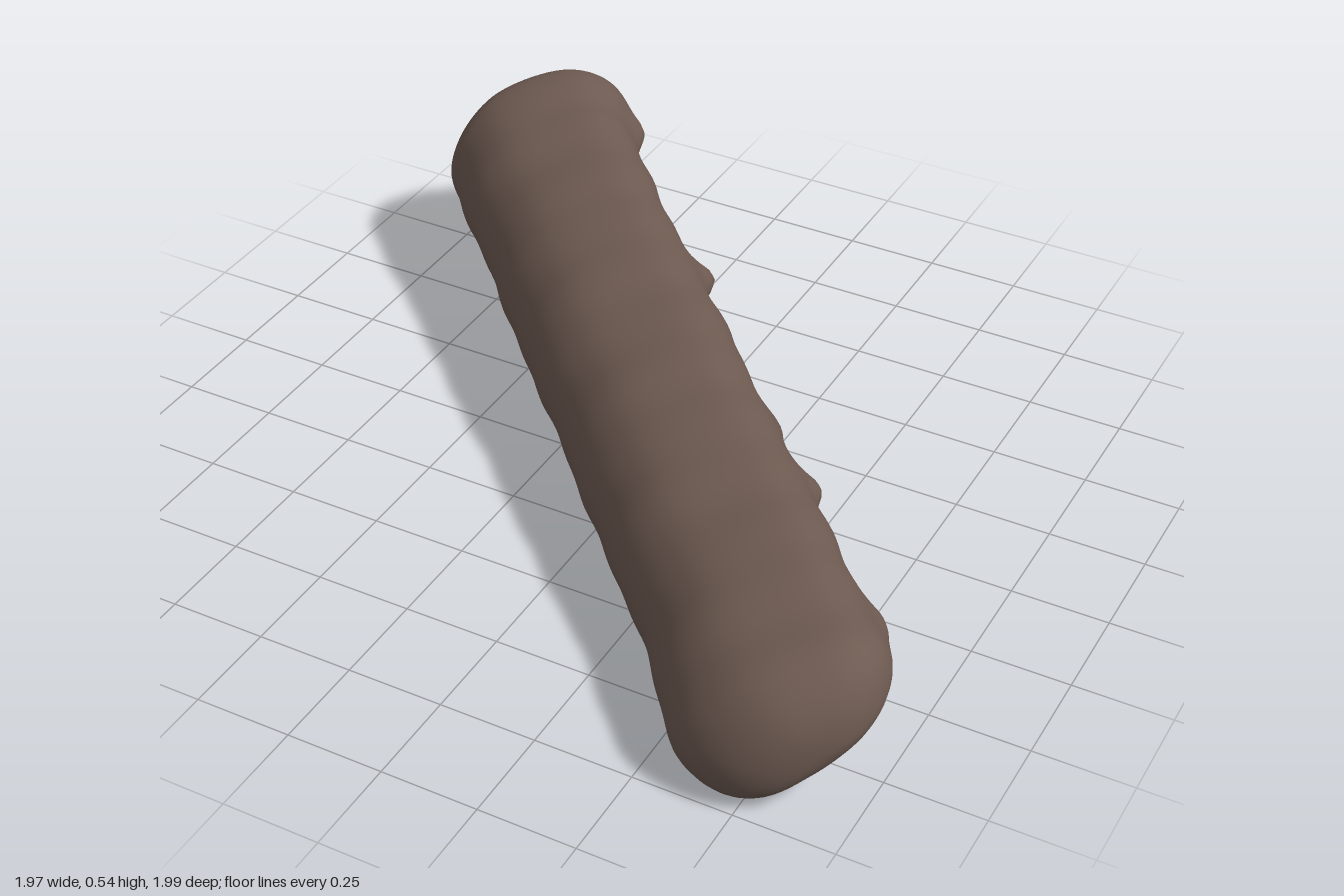
import * as THREE from 'three';

const gauss = (x, w) => Math.exp(-(x * x) / (w * w));

// Domed cross-section with a slanted, slightly bulging underside: [across, height]
const SECTION = [
  [-0.155, 0.095], [-0.01, 0.147], [0.11, 0.21], [0.195, 0.275], [0.228, 0.335], [0.2, 0.41],
  [0.12, 0.456], [0.0, 0.448], [-0.125, 0.4], [-0.21, 0.305], [-0.241, 0.2], [-0.215, 0.122],
];
const CENTRE = [0, 0.27];

// Ragged drips along the upper rim of the base: [along, width, size]
const DRIPS = [
  [-0.99, 0.08, 0.045], [-0.72, 0.05, 0.01], [-0.31, 0.06, 0.055], [-0.05, 0.05, 0.01],
  [0.3, 0.07, 0.025], [0.54, 0.06, 0.05], [0.75, 0.06, 0.008], [1.0, 0.08, 0.045],
];
// Lumps on the crest: [along, width, size]
const CREST = [[-1.1, 0.06, 0.008], [-0.92, 0.05, 0.008], [0.9, 0.07, 0.006]];

const START = -1.235, END = 1.292;

// Rounded closing of the two ends, with a radius for each end
function endScale(s, startRadius, endRadius) {
  const cap = (d, r) => (d >= r ? 1 : Math.pow(Math.max(0, 1 - Math.pow(1 - d / r, 2.3)), 1 / 2.3));
  return cap(s - START, startRadius) * cap(END - s, endRadius);
}

// Gentle waves of the coating
function ripple(s, p, y) {
  return 0.002 * Math.sin(17 * s + 8 * p) + 0.002 * Math.sin(31 * s - 9 * y + 1)
    + 0.002 * Math.sin(9 * s + 11 * p - 6 * y + 2);
}

function barGeometry(rings = 180, sides = 72) {
  const curve = new THREE.CatmullRomCurve3(
    SECTION.map(([p, y]) => new THREE.Vector3(p, y, 0)), true, 'centripetal');
  const outline = curve.getSpacedPoints(sides).slice(0, sides);
  const positions = [], index = [];

  for (let i = 0; i <= rings; i++) {
    const v = Math.sin((i / rings - 0.5) * Math.PI);
    const s = (START + END) / 2 + v * (END - START) / 2;
    const across = endScale(s, 0.15, 0.23), upward = endScale(s, 0.12, 0.17);
    // The lower side flares at the near end, the upper side at the far end
    const flareLow = 1 + 0.11 * gauss(s - 1.1, 0.2);
    const flareHigh = 1 + 0.17 * gauss(s + 1.1, 0.16);
    outline.forEach((q) => {
      const dp = q.x - CENTRE[0], dy = q.y - CENTRE[1];
      const rim = gauss(q.x - 0.215, 0.07) * gauss(q.y - 0.305, 0.05);
      const top = gauss(q.x - 0.12, 0.09) * gauss(q.y - 0.45, 0.06);
      let push = ripple(s, q.x, q.y);
      DRIPS.forEach(([c, w, h]) => { push += h * rim * gauss(s - c, w); });
      CREST.forEach(([c, w, h]) => { push += h * top * gauss(s - c, w); });
      const f = 1 + push / Math.hypot(dp, dy);
      const p = CENTRE[0] + dp * f * across * (dp < 0 ? flareLow : flareHigh);
      const y = CENTRE[1] + dy * f * upward - 0.078 * s; // slopes down towards the front
      positions.push((s + p) * Math.SQRT1_2, y, (s - p) * Math.SQRT1_2);
    });
  }
  for (let i = 0; i < rings; i++) {
    for (let j = 0; j < sides; j++) {
      const a = i * sides + j, b = i * sides + (j + 1) % sides;
      index.push(a, b, a + sides, b, b + sides, a + sides);
    }
  }
  const g = new THREE.BufferGeometry();
  g.setAttribute('position', new THREE.Float32BufferAttribute(positions, 3));
  g.setIndex(index);

  // Centred and standing on the ground
  g.computeBoundingBox();
  const mid = g.boundingBox.getCenter(new THREE.Vector3());
  g.translate(-mid.x, -g.boundingBox.min.y, -mid.z);
  g.computeVertexNormals();
  return g;
}

export function createModel() {
  const group = new THREE.Group();
  group.name = 'coatedBar';
  const chocolate = new THREE.MeshStandardMaterial({ color: 0x6d5a51 });
  chocolate.name = 'chocolate brown';
  const bar = new THREE.Mesh(barGeometry(), chocolate);
  bar.name = 'bar';
  group.add(bar);
  return group;
}
